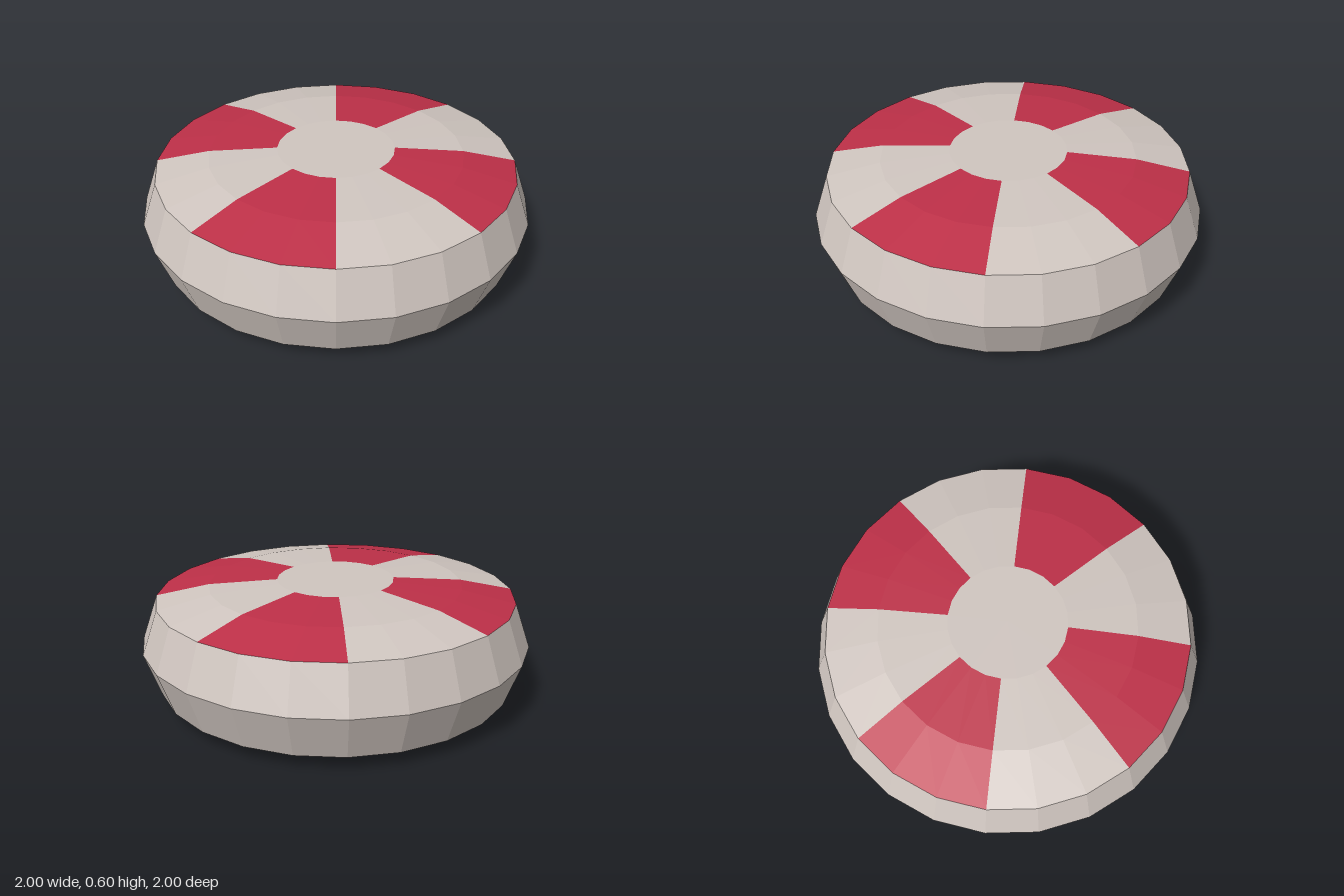
import * as THREE from 'three';

const SEGMENT = Math.PI / 12; // 24-sided disc

export function createModel() {
  const group = new THREE.Group();
  group.name = 'mint';
  const cream = new THREE.MeshStandardMaterial({ color: 0xd0c6c0 });
  const red = new THREE.MeshStandardMaterial({ color: 0xbe3048 });
  cream.name = 'cream';
  red.name = 'red';

  // Faceted sweep of a [radius, height] profile, listed from bottom to top
  function sweep(name, profile, material, start = 0, count = 24) {
    const points = profile.map(([r, y]) => new THREE.Vector2(r, y));
    const lathe = new THREE.LatheGeometry(points, count, start * SEGMENT, count * SEGMENT);
    const geometry = lathe.toNonIndexed();
    geometry.computeVertexNormals();
    const mesh = new THREE.Mesh(geometry, material);
    mesh.name = name;
    group.add(mesh);
  }

  const flip = (profile) => profile.map(([r, y]) => [r, 0.6 - y]).reverse();

  // Bevelled outer rim
  sweep('rim', [[0.92, 0.075], [1, 0.3], [0.92, 0.525]], cream);

  // Flat centres and shallow domed faces, top and bottom
  const centre = [[0.3, 0.6], [0, 0.6]];
  const dome = [[0.92, 0.525], [0.65, 0.58], [0.3, 0.6]];
  sweep('topCentre', centre, cream);
  sweep('bottomCentre', flip(centre), cream);

  // Four red stripes alternating with cream, three facets each
  for (let i = 0; i < 4; i++) {
    const start = 5 + i * 6;
    sweep('topRedStripe', dome, red, start, 3);
    sweep('topCreamStripe', dome, cream, start + 3, 3);
    sweep('bottomRedStripe', flip(dome), red, start, 3);
    sweep('bottomCreamStripe', flip(dome), cream, start + 3, 3);
  }
  return group;
}
